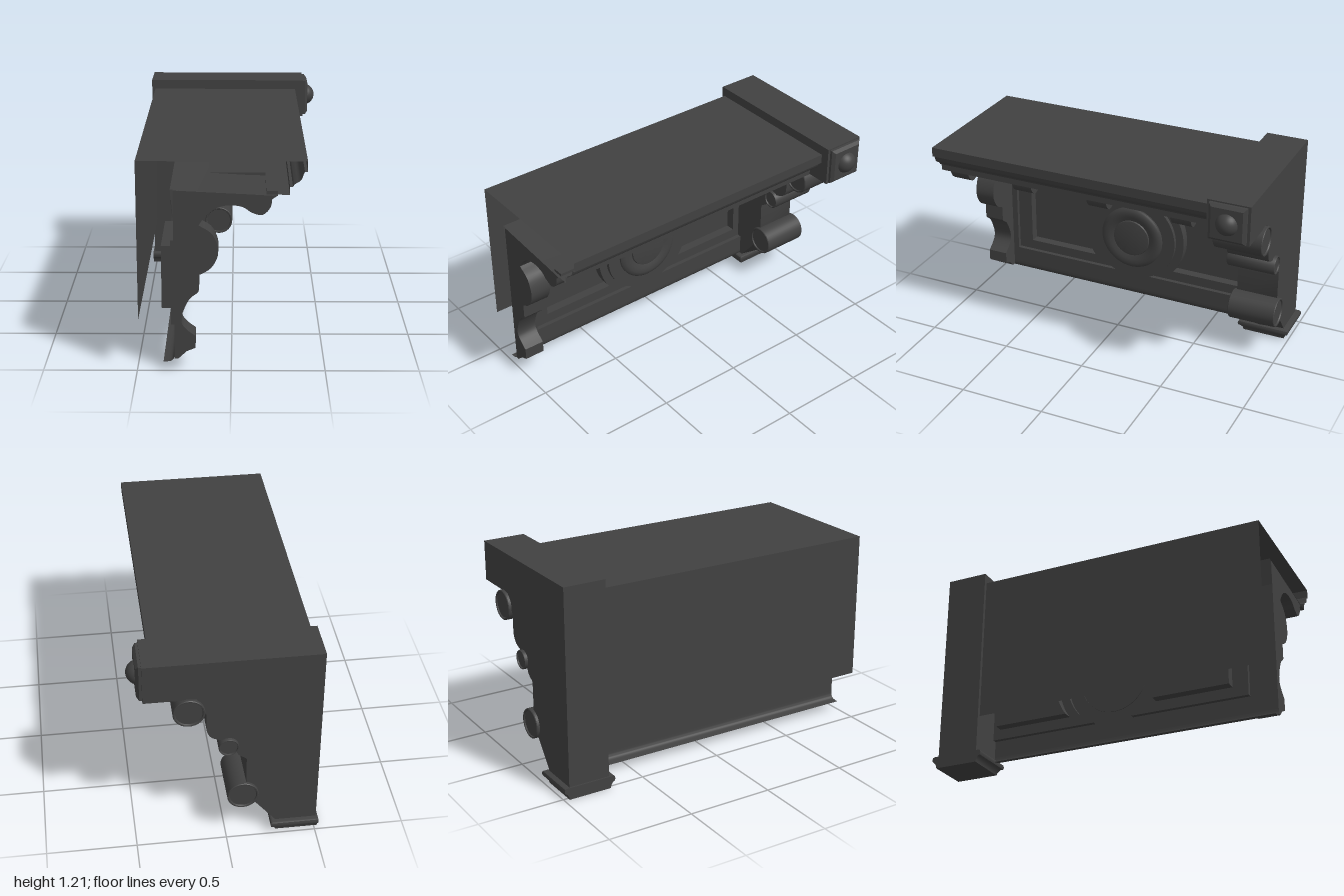
import * as THREE from 'three';
import { toCreasedNormals } from 'three/addons/utils/BufferGeometryUtils.js';

const solid = new THREE.MeshStandardMaterial({ color: 0x414141 });
const sheet = new THREE.MeshStandardMaterial({ color: 0x414141, side: THREE.DoubleSide });

const V = (x, y, z) => new THREE.Vector3(x, y, z);
const smooth = (pts, n) =>
  new THREE.SplineCurve(pts.map(p => new THREE.Vector2(...p))).getPoints(n).map(p => [p.x, p.y]);
const shapeOf = pts => new THREE.Shape(pts.map(p => new THREE.Vector2(...p)));

export function createModel() {
  const model = new THREE.Group();

  function add(name, geo, mat = solid) {
    const mesh = new THREE.Mesh(geo, mat);
    mesh.name = name;
    model.add(mesh);
  }

  // Skin between successive rings of equal length
  function loft(rings, closed) {
    const n = rings[0].length, index = [];
    for (let i = 0; i < rings.length - 1; i++) {
      for (let j = 0; j < (closed ? n : n - 1); j++) {
        const a = i * n + j, b = i * n + (j + 1) % n;
        index.push(a, b, b + n, a, b + n, a + n);
      }
    }
    const geo = new THREE.BufferGeometry().setFromPoints(rings.flat());
    geo.setIndex(index);
    return toCreasedNormals(geo, 0.6);
  }

  // Side profile in x and y, given thickness along z
  function slab(name, pts, z0, z1) {
    const geo = new THREE.ExtrudeGeometry(shapeOf(pts), { depth: z1 - z0, bevelEnabled: false });
    geo.translate(0, 0, z0);
    add(name, toCreasedNormals(geo, 0.6));
  }

  // Open profile in x and y run along the whole cornice
  const Z0 = -0.8, Z1 = 1;
  const run = (name, pts) =>
    add(name, loft([Z0, Z1].map(z => pts.map(p => V(p[0], p[1], z)))), sheet);

  function box(name, x0, x1, y0, y1, z0, z1) {
    const geo = new THREE.BoxGeometry(x1 - x0, y1 - y0, z1 - z0);
    geo.translate((x0 + x1) / 2, (y0 + y1) / 2, (z0 + z1) / 2);
    add(name, geo);
  }

  // Back, roof, crown moulding and soffit
  run('corniceShell', [
    [-0.49, 0.29], [-0.49, 1.155], [0.39, 1.155], [0.39, 1.1], [0.375, 1.1],
    ...smooth([[0.37, 1.09], [0.355, 1.055], [0.325, 1.035], [0.315, 1.02]], 10),
    [0.3, 1.02], [0.3, 0.978], [0.1, 0.982], [-0.314, 1.006], [-0.3, 0.85],
  ]);

  // Upper wall with its small moulding, and the curled foot of the frieze
  run('upperWall', [[-0.27, 1.003], [-0.27, 0.82],
    ...smooth([[-0.268, 0.81], [-0.272, 0.795], [-0.29, 0.785]], 8), [-0.29, 0.775], [-0.3, 0.775]]);
  run('friezeFoot', smooth([[-0.3, 0.1], [-0.303, 0.075], [-0.318, 0.057], [-0.36, 0.05]], 10));

  // Frieze wall with two sunk panels whose inner ends follow the medallion
  const cz = 0.04, cy = 0.455;
  function panelOutline(side, y0, y1, end, r) {
    const pts = [];
    for (let i = 0; i <= 20; i++) {
      const y = y0 + (y1 - y0) * i / 20;
      pts.push([Math.sqrt(r * r - (y - cy) ** 2), y]);
    }
    pts.push([end, y1], [end, y0]);
    return pts.map(([d, y]) => [cz + side * d, y]);
  }
  const wall = shapeOf([[-Z1, 0.1], [-Z0, 0.1], [-Z0, 0.775], [-Z1, 0.775]]);
  for (const side of [1, -1]) {
    const outer = panelOutline(side, 0.2, 0.677, 0.805, 0.28);
    const inner = panelOutline(side, 0.26, 0.617, 0.715, 0.33);
    const at = (pts, x) => pts.map(([z, y]) => V(x, y, z));
    wall.holes.push(new THREE.Path(outer.map(([z, y]) => new THREE.Vector2(-z, y))));
    add('panelFrame', loft([at(outer, -0.3), at(outer, -0.325), at(inner, -0.325), at(inner, -0.38)], true), sheet);
    const back = new THREE.ShapeGeometry(shapeOf(inner.map(([z, y]) => [-z, y])));
    add('panelBack', back.rotateY(Math.PI / 2).translate(-0.38, 0, 0), sheet);
  }
  add('friezeWall', new THREE.ShapeGeometry(wall).rotateY(Math.PI / 2).translate(-0.3, 0, 0), sheet);

  // Round medallion between the panels
  const dish = [[0.2, -0.005], [0.2, 0.012], [0.19, 0.022], [0.17, 0.026], [0.145, 0.024],
    [0.118, 0.014], [0.115, 0.022], [0.105, 0.024], [0, 0.024]].map(p => new THREE.Vector2(...p));
  add('medallion', toCreasedNormals(new THREE.LatheGeometry(dish, 48), 0.6)
    .rotateZ(-Math.PI / 2).translate(-0.3, cy, cz), sheet);

  // Modillions with caps under the soffit, and the rails of the coffers
  const nose = smooth([[0.21, 0.955], [0.2, 0.908], [0.16, 0.87], [0.105, 0.883], [0.06, 0.912],
    [-0.01, 0.922], [-0.08, 0.905], [-0.13, 0.866], [-0.168, 0.814]], 28);
  for (const z of [0.523, 0.04, -0.478]) {
    slab('modillion', [[-0.3, 0.955], ...nose, [-0.3, 0.814]], z - 0.062, z + 0.062);
    box('modillionCap', -0.28, 0.22, 0.945, 0.97, z - 0.075, z + 0.075);
    box('modillionCapUpper', -0.28, 0.235, 0.968, 0.995, z - 0.125, z + 0.125);
  }
  box('coffersFrontRail', 0.18, 0.24, 0.968, 0.995, Z0, 0.99);
  box('coffersBackRail', -0.28, -0.22, 0.968, 0.995, Z0, 0.99);
  box('coffersLowerRail', -0.28, -0.25, 0.945, 0.97, Z0, 0.99);

  // Slim console against the wall at the open end
  slab('endConsole', [
    [-0.3, 1], [0.1, 0.98], [0.235, 0.972], ...nose,
    ...smooth([[-0.155, 0.805], [-0.1, 0.767], [-0.07, 0.697], [-0.073, 0.635], [-0.11, 0.575], [-0.17, 0.54]], 18),
    [-0.17, 0.45],
    ...smooth([[-0.178, 0.44], [-0.22, 0.405], [-0.255, 0.33], [-0.262, 0.275], [-0.235, 0.235], [-0.19, 0.2]], 14),
    [-0.19, 0.13], [-0.235, 0.112], [-0.28, 0.07], [-0.3, 0.07],
  ], 0.88, 1);

  // Large end bracket
  const zb = -0.843;
  slab('endBracket', [
    [-0.51, 0.05], [-0.295, 0.05], [-0.28, 0.07], [-0.16, 0.22], [-0.11, 0.32], [-0.11, 0.54],
    ...smooth([[-0.1, 0.55], [-0.065, 0.575], [-0.05, 0.61]], 8),
    [-0.01, 0.675], ...smooth([[0.035, 0.69], [0.08, 0.71], [0.105, 0.75], [0.108, 0.8]], 10),
    [0.108, 0.87], [0.16, 0.98], [0.44, 0.98], [0.44, 1.21], [-0.51, 1.21],
  ], -0.966, -0.72);

  // Scroll rolls with sunk ends
  for (const [x, y, r] of [[0.202, 0.9, 0.086], [-0.01, 0.644, 0.055], [-0.092, 0.288, 0.087]]) {
    const half = [[0, 0.134], [0.84, 0.134], [0.88, 0.141], [0.96, 0.142], [1, 0.138]];
    const pts = [...half.map(([k, h]) => new THREE.Vector2(k * r, -h)),
      ...half.slice().reverse().map(([k, h]) => new THREE.Vector2(k * r, h))];
    add('scroll', toCreasedNormals(new THREE.LatheGeometry(pts, 32), 0.6)
      .rotateX(Math.PI / 2).translate(x, y, zb));
  }

  // Faceted stud on the sloping foot of the bracket
  const square = (top, bottom, h) =>
    new THREE.CylinderGeometry(top * Math.SQRT1_2, bottom * Math.SQRT1_2, h, 4, 1).rotateY(Math.PI / 4).toNonIndexed();
  const stud = square(0, 1, 1).translate(0, 0.5, 0).scale(0.18, 0.042, 0.24);
  stud.rotateZ(Math.atan2(-0.78, -0.62)).translate(-0.22, 0.145, zb);
  stud.computeVertexNormals();
  add('footStud', stud);

  // Plate and round boss on the bracket's front
  const plate = square(0.18, 0.214, 0.015);
  plate.rotateZ(-Math.PI / 2).translate(0.4625, 1.095, zb);
  plate.computeVertexNormals();
  add('bossPlate', plate);
  box('bossPlateBase', 0.435, 0.455, 0.988, 1.202, zb - 0.107, zb + 0.107);
  add('boss', new THREE.SphereGeometry(0.066, 32, 20).translate(0.449, 1.095, zb));

  // Moulded plinth under the bracket
  const level = (y, e) => [V(-0.52, y, -0.97 - e), V(-0.28 + e, y, -0.97 - e),
    V(-0.28 + e, y, -0.715 + e), V(-0.52, y, -0.715 + e)];
  const centre = y => Array.from({ length: 4 }, () => V(-0.4, y, zb));
  add('plinth', loft([centre(0), level(0, 0), level(0.015, 0.003), level(0.035, 0.016), level(0.04, 0.026),
    level(0.053, 0.03), level(0.066, 0.026), level(0.07, 0.018), centre(0.07)], true), sheet);

  return model;
}
